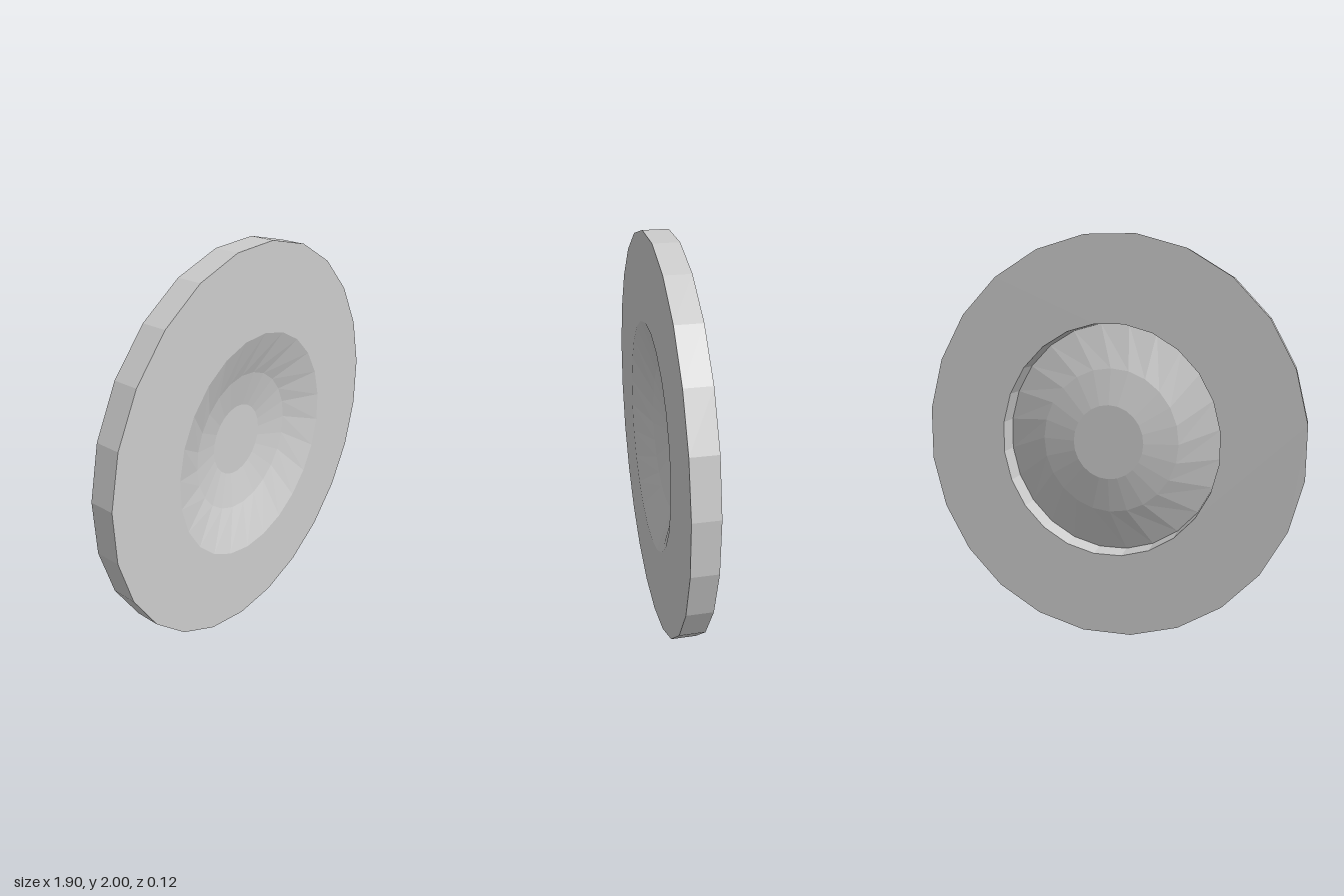
import * as THREE from 'three';

const SIDES = 24;
const HALF = 0.061; // half the thickness
const TURN = THREE.MathUtils.degToRad(7);

// Slightly oval ring of points, clockwise from the top
function ovalRing(rx, ry, turn = TURN) {
  return Array.from({ length: SIDES }, (_, i) => {
    const a = turn + (i / SIDES) * Math.PI * 2;
    return new THREE.Vector2(Math.sin(a) * rx, Math.cos(a) * ry);
  });
}

// Faceted bowl from rings of [rx, ry, z, twist in steps], joined by triangles
function bowlGeometry(levels) {
  const pos = [];
  const rings = levels.map(([rx, ry, z, twist]) =>
    ovalRing(rx, ry, TURN + (twist * Math.PI * 2) / SIDES)
      .map((p) => new THREE.Vector3(p.x, p.y, z)));
  const tri = (...pts) => pts.forEach((p) => pos.push(p.x, p.y, p.z));
  for (let k = 0; k < rings.length - 1; k++) {
    const a = rings[k], b = rings[k + 1];
    for (let i = 0; i < SIDES; i++) {
      const j = (i + 1) % SIDES;
      tri(a[i], b[i], a[j]);
      tri(a[j], b[i], b[j]);
    }
  }
  // flat floor
  const floor = rings[rings.length - 1];
  const centre = new THREE.Vector3(0, 0, floor[0].z);
  floor.forEach((p, i) => tri(p, centre, floor[(i + 1) % SIDES]));
  const geo = new THREE.BufferGeometry();
  geo.setAttribute('position', new THREE.Float32BufferAttribute(pos, 3));
  geo.computeVertexNormals();
  return geo;
}

export function createModel() {
  const group = new THREE.Group();
  group.name = 'dishedDisc';

  // flat outer ring with a straight-walled hole, wound opposite to the rim
  const shape = new THREE.Shape(ovalRing(0.957, 1.007));
  shape.holes.push(new THREE.Path(ovalRing(0.553, 0.583).reverse()));
  const ringGeo = new THREE.ExtrudeGeometry(shape, { depth: HALF * 2, bevelEnabled: false });
  ringGeo.translate(0, 0, -HALF);
  const ring = new THREE.Mesh(ringGeo, new THREE.MeshStandardMaterial({
    color: 0xcccccc, flatShading: true, side: THREE.DoubleSide }));
  ring.name = 'outerRing';

  // thin bowl sinking from the front edge of the hole to the back face
  const bowl = new THREE.Mesh(
    bowlGeometry([
      [0.553, 0.583, HALF, 0],
      [0.345, 0.363, -0.022, -0.5],
      [0.177, 0.186, -HALF, -0.5],
    ]),
    new THREE.MeshStandardMaterial({ color: 0xcccccc, flatShading: true, side: THREE.DoubleSide }));
  bowl.name = 'centreBowl';

  ring.position.y = bowl.position.y = 1;
  group.add(ring, bowl);
  return group;
}
